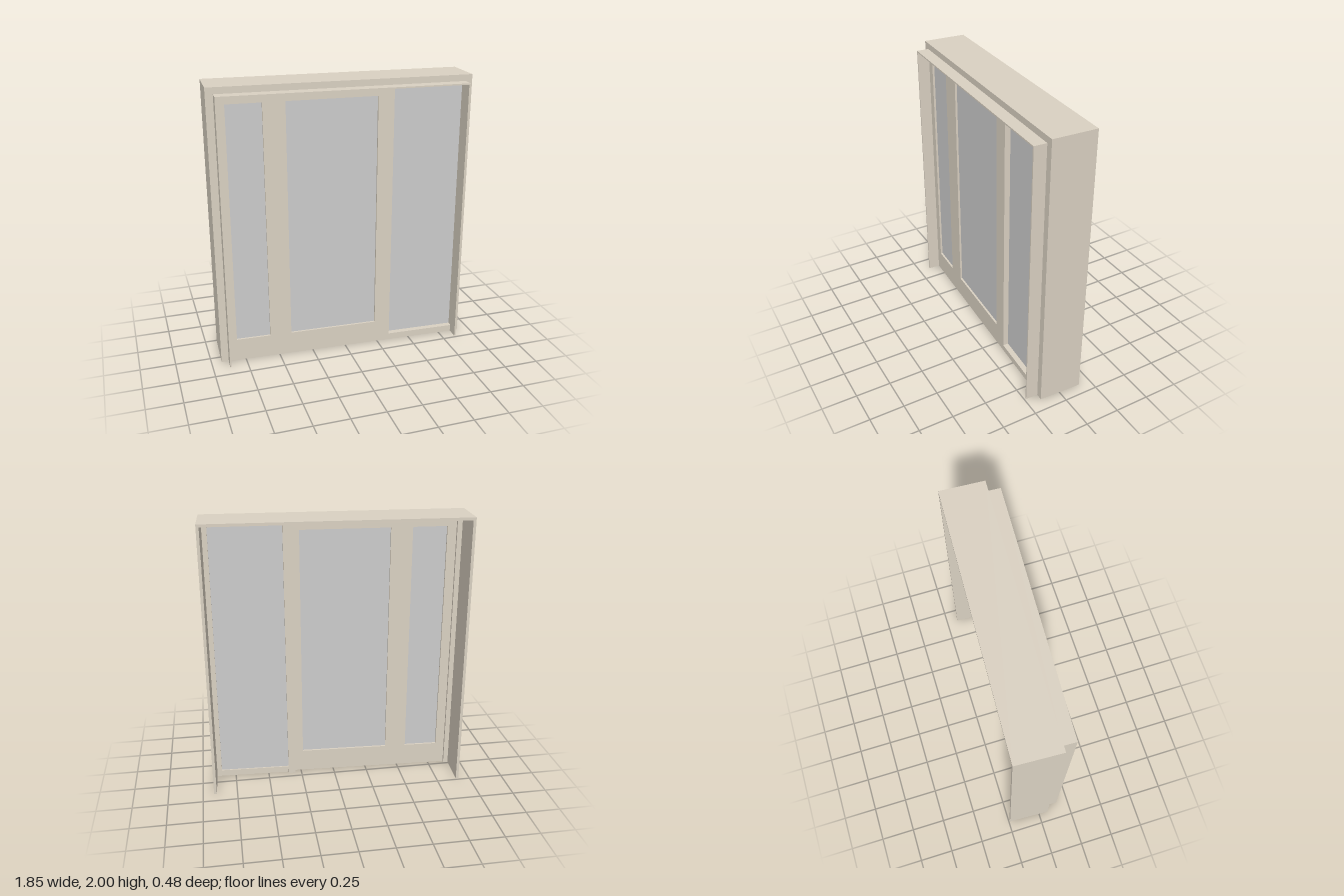
import * as THREE from 'three';

const frameMat = new THREE.MeshStandardMaterial({ color: 0xdad1c2 });
const glassMat = new THREE.MeshStandardMaterial({ color: 0xcccccc });

// Box given by its limits on each axis
function bar(name, x0, x1, y0, y1, z0, z1, mat = frameMat) {
  const geo = new THREE.BoxGeometry(x1 - x0, y1 - y0, z1 - z0);
  const mesh = new THREE.Mesh(geo, mat);
  mesh.name = name;
  mesh.position.set((x0 + x1) / 2, (y0 + y1) / 2, (z0 + z1) / 2);
  return mesh;
}

function rectangle(path, x0, x1, y0, y1) {
  path.moveTo(x0, y0);
  path.lineTo(x1, y0);
  path.lineTo(x1, y1);
  path.lineTo(x0, y1);
  path.closePath();
  return path;
}

// Three-sided surround, open at the floor, with walls of the given thickness
function surround(name, x0, x1, top, side, head, z0, z1) {
  const s = new THREE.Shape();
  s.moveTo(x0, 0);
  s.lineTo(x0 + side, 0);
  s.lineTo(x0 + side, top - head);
  s.lineTo(x1 - side, top - head);
  s.lineTo(x1 - side, 0);
  s.lineTo(x1, 0);
  s.lineTo(x1, top);
  s.lineTo(x0, top);
  s.closePath();
  return extrude(name, s, z0, z1);
}

function extrude(name, shape, z0, z1) {
  const geo = new THREE.ExtrudeGeometry(shape, { depth: z1 - z0, bevelEnabled: false });
  const mesh = new THREE.Mesh(geo, frameMat);
  mesh.name = name;
  mesh.position.z = z0;
  return mesh;
}

export function createModel() {
  const group = new THREE.Group();
  group.name = 'doorUnit';

  // Deep wall lining, inner frame and thin front lip
  group.add(surround('lining', -0.925, 0.913, 2, 0.02, 0.02, -0.2, 0.11));
  group.add(surround('innerFrame', -0.905, 0.893, 1.98, 0.035, 0.035, 0.05, 0.11));
  group.add(surround('frontLip', -0.873, 0.864, 1.955, 0.01, 0.01, 0.11, 0.198));

  // Door leaf with a narrow and a wide window
  const windows = [[-0.805, -0.56], [-0.405, 0.235]];
  const leaf = rectangle(new THREE.Shape(), -0.87, 0.35, 0, 1.945);
  for (const [x0, x1] of windows) leaf.holes.push(rectangle(new THREE.Path(), x0, x1, 0.165, 1.885));
  group.add(extrude('doorLeaf', leaf, 0.07, 0.11));
  for (const [x0, x1] of windows) {
    group.add(bar('doorGlass', x0, x1, 0.165, 1.885, 0.085, 0.095, glassMat));
  }

  // Fixed side light: post behind the leaf, sill and full-height pane
  group.add(bar('sideLightPost', 0.3, 0.35, 0, 1.945, 0.03, 0.07));
  group.add(bar('sideLightSill', 0.35, 0.858, 0, 0.047, 0.05, 0.11));
  group.add(bar('sideLightGlass', 0.35, 0.858, 0.047, 1.945, 0.06, 0.07, glassMat));

  // The unit stands slightly turned
  group.rotation.y = -0.0436;
  return group;
}
